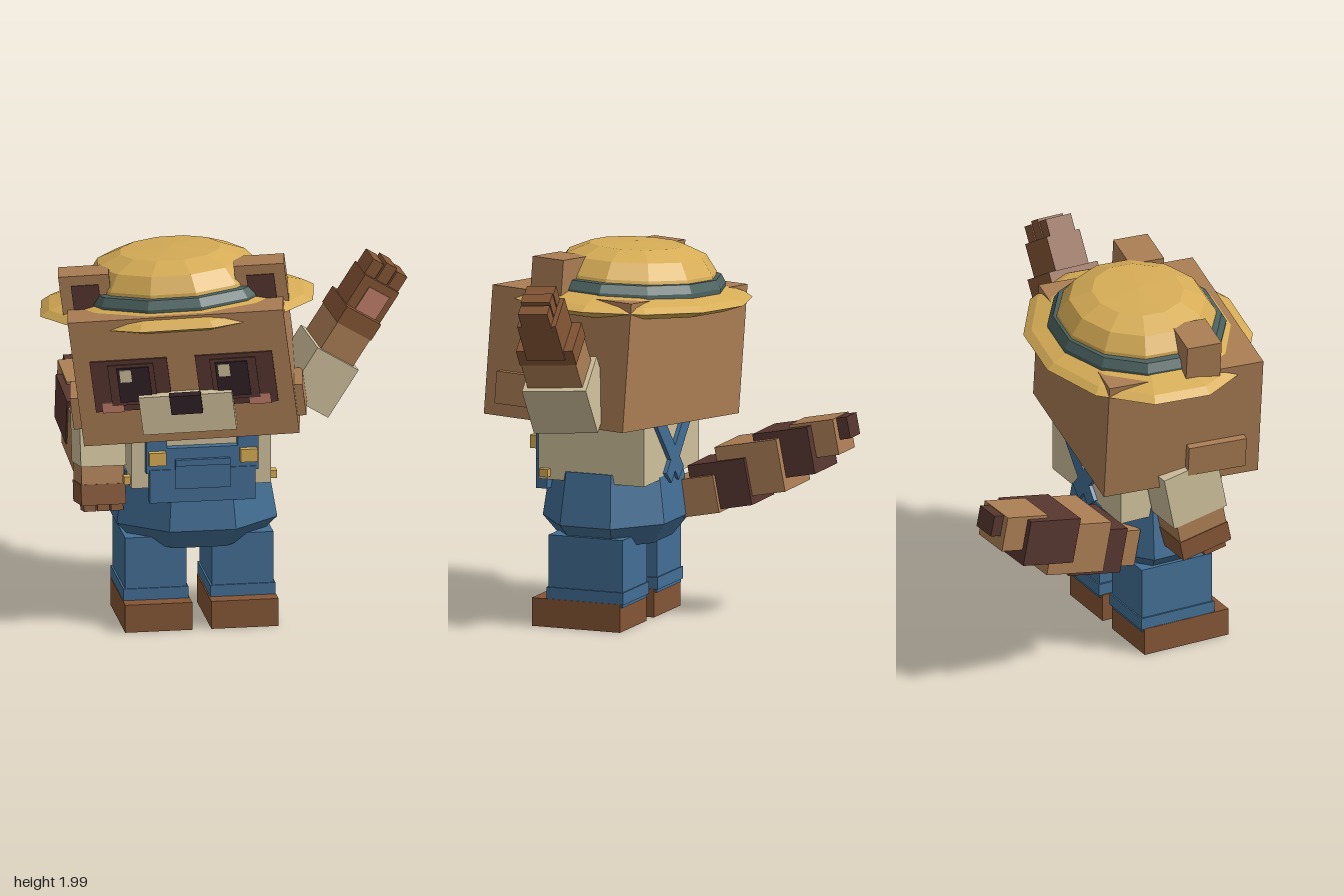
import * as THREE from 'three';

const mat = (name, color) => {
  const m = new THREE.MeshStandardMaterial({ color, flatShading: true });
  m.name = name;
  return m;
};

export function createModel() {
  const fur = mat('fur brown', 0xaa7d54);
  const darkFur = mat('dark fur', 0x57362f);
  const black = mat('eye black', 0x302024);
  const cream = mat('cream', 0xcfc09c);
  const denim = mat('denim blue', 0x426e94);
  const leather = mat('leather brown', 0x845535);
  const yellow = mat('helmet yellow', 0xd6ac56);
  const teal = mat('band teal', 0x4c625f);
  const pink = mat('pink', 0xc07e6a);

  const model = new THREE.Group();
  const add = (parent, name, geo, material) => {
    const mesh = new THREE.Mesh(geo, material);
    mesh.name = name;
    parent.add(mesh);
    return mesh;
  };
  const group = (name, parent = model) => {
    const g = new THREE.Group();
    g.name = name;
    parent.add(g);
    return g;
  };
  // Box given by its centre and size
  const box = (parent, name, material, [x, y, z], [w, h, d]) => {
    const mesh = add(parent, name, new THREE.BoxGeometry(w, h, d), material);
    mesh.position.set(x, y, z);
    return mesh;
  };
  // Faceted lathe with flat sides on the axes; z is squashed
  const lathe = (profile, sides, zScale) =>
    new THREE.LatheGeometry(profile.map(([r, y]) => new THREE.Vector2(r, y)), sides, Math.PI / sides)
      .scale(1, 1, zScale);

  // ---- Head: parts are laid out level, then leaned and turned together
  const head = group('head');
  const lean = new THREE.Matrix4().makeBasis(
    new THREE.Vector3(0.983, 0.07, 0.168),
    new THREE.Vector3(-0.126, 0.99, -0.02),
    new THREE.Vector3(-0.157, 0.018, 0.987)
  ).setPosition(-0.231, 1.415, 0.277);
  const headPart = (name, geo, material, x = 0, y = 0, z = 0) =>
    add(head, name, geo.translate(x, y, z).applyMatrix4(lean), material);
  const headBox = (name, material, [x, y, z], [w, h, d]) =>
    headPart(name, new THREE.BoxGeometry(w, h, d), material, x, y, z);

  headBox('skull', fur, [0, 0, 0], [1.13, 0.68, 0.856]);
  for (const s of [-1, 1]) {
    headBox('eyePatch', darkFur, [s * 0.276, -0.016, 0.43], [0.405, 0.275, 0.03]);
    headBox('eyeRim', darkFur, [s * 0.268, -0.01, 0.445], [0.24, 0.22, 0.03]);
    headBox('eye', black, [s * 0.258, -0.008, 0.458], [0.17, 0.185, 0.03]);
    headBox('eyeGlint', cream, [s * 0.258 - 0.04, 0.043, 0.475], [0.06, 0.065, 0.009]);
    headBox('blush', pink, [s * 0.385, -0.13, 0.447], [0.115, 0.055, 0.02]);
    headBox('cheek', fur, [s * 0.58, -0.185, 0.18], [0.06, 0.17, 0.32]);
    headBox('ear', fur, [s * 0.46, 0.41, 0.083], [0.265, 0.225, 0.19]);
    headBox('innerEar', darkFur, [s * 0.46, 0.4, 0.18], [0.145, 0.14, 0.012]);
  }
  headBox('muzzle', cream, [0, -0.17, 0.465], [0.49, 0.205, 0.11]);
  headBox('nose', black, [0, -0.107, 0.535], [0.165, 0.1, 0.075]);

  // Helmet: brim sunk into the skull, band and dome
  headPart('helmetBrim', lathe([[0, 0.24], [0.61, 0.245], [0.74, 0.285], [0.69, 0.315], [0.52, 0.36], [0, 0.37]], 12, 0.8),
    yellow, 0, 0, -0.07);
  headPart('helmetBand', lathe([[0.54, 0.3], [0.54, 0.365], [0.51, 0.41], [0.44, 0.415]], 12, 0.86), teal, 0, 0, -0.08);
  headPart('helmetDome', lathe([[0.48, 0.36], [0.465, 0.43], [0.4, 0.515], [0.27, 0.567], [0, 0.58]], 12, 0.89),
    yellow, 0, 0, -0.085);

  // ---- Body, centred on its own axis
  const body = group('body');
  body.position.set(-0.18, 0, 0.25);
  box(body, 'shirt', cream, [0, 0.95, -0.012], [0.74, 0.34, 0.6]);
  const k = 1 / Math.cos(Math.PI / 8);
  add(body, 'trouserSeat',
    lathe([[0, 0.435], [0.32 * k, 0.435], [0.425 * k, 0.55], [0.378 * k, 0.83], [0, 0.83]], 8, 0.812), denim);
  box(body, 'bib', denim, [0, 0.88, 0.305], [0.38, 0.25, 0.06]);
  box(body, 'bibBase', denim, [0, 0.8, 0.308], [0.56, 0.18, 0.062]);
  box(body, 'pocket', denim, [0, 0.865, 0.337], [0.29, 0.16, 0.024]);
  box(body, 'pocketFlap', denim, [0, 0.928, 0.345], [0.29, 0.034, 0.024]);
  for (const s of [-1, 1]) {
    box(body, 'frontStrap', denim, [s * 0.242, 0.99, 0.305], [0.11, 0.24, 0.055]);
    box(body, 'strapBuckle', yellow, [s * 0.242, 0.957, 0.347], [0.09, 0.07, 0.045]);
    box(body, 'sideButton', yellow, [s * 0.385, 0.818, 0.245], [0.04, 0.042, 0.05]);
    const strap = box(body, 'backStrap', denim, [s * 0.07, 0.95, -0.318], [0.09, 0.46, 0.03]);
    strap.rotation.z = -s * 0.72;
    box(body, 'leg', denim, [s * 0.23, 0.31, 0.01], [0.325, 0.36, 0.42]);
    box(body, 'trouserCuff', denim, [s * 0.23, 0.18, 0.01], [0.345, 0.065, 0.435]);
    box(body, 'shoe', leather, [s * 0.228, 0.075, 0.06], [0.355, 0.15, 0.5]);
  }

  // ---- Lowered arm, swung slightly forward
  const lowArm = group('loweredArm');
  lowArm.position.set(-0.68, 1.12, 0.22);
  lowArm.rotation.x = -0.2;
  box(lowArm, 'sleeve', cream, [0, -0.13, 0], [0.24, 0.3, 0.32]);
  box(lowArm, 'forearm', fur, [-0.003, -0.32, 0], [0.225, 0.17, 0.28]);
  box(lowArm, 'hand', leather, [-0.003, -0.43, 0], [0.235, 0.11, 0.29]);
  for (const i of [-1, 0, 1]) {
    box(lowArm, 'finger', leather, [i * 0.072, -0.495, 0.05], [0.064, 0.05, 0.13]);
  }

  // ---- Raised waving arm, its own y runs from sleeve to fingertips
  const waveArm = group('wavingArm');
  waveArm.position.set(0.542, 1.42, 0.27);
  waveArm.rotation.set(0, 0.12, -0.57, 'ZYX');
  box(waveArm, 'sleeve', cream, [0, -0.15, 0], [0.265, 0.3, 0.35]);
  box(waveArm, 'forearm', fur, [0, 0.08, 0], [0.21, 0.24, 0.3]);
  box(waveArm, 'wrist', leather, [0, 0.215, 0], [0.22, 0.1, 0.31]);
  box(waveArm, 'hand', leather, [0.01, 0.33, 0], [0.22, 0.24, 0.21]);
  box(waveArm, 'palmPad', pink, [0.02, 0.33, 0.105], [0.13, 0.15, 0.016]);
  for (const i of [-1, 0, 1]) {
    box(waveArm, 'finger', leather, [0.012 + i * 0.076, 0.47 + (i === 0 ? 0.015 : 0), 0], [0.066, 0.14, 0.16]);
  }

  // ---- Ringed tail: stepped blocks, each tipped a little upward
  const tail = group('tail');
  const rings = [
    // x, y, z, width, height, length
    [-0.42, 0.64, -0.11, 0.25, 0.2, 0.3],
    [-0.495, 0.71, -0.265, 0.33, 0.25, 0.32],
    [-0.55, 0.8, -0.42, 0.37, 0.28, 0.35],
    [-0.585, 0.885, -0.59, 0.33, 0.25, 0.31],
    [-0.605, 0.96, -0.735, 0.235, 0.19, 0.25],
    [-0.615, 1.015, -0.84, 0.145, 0.115, 0.14],
  ];
  rings.forEach(([x, y, z, w, h, d], i) => {
    box(tail, 'tailRing', i % 2 ? darkFur : fur, [x, y, z], [w, h, d]).rotation.set(0.19, 0.04, 0);
  });

  return model;
}
